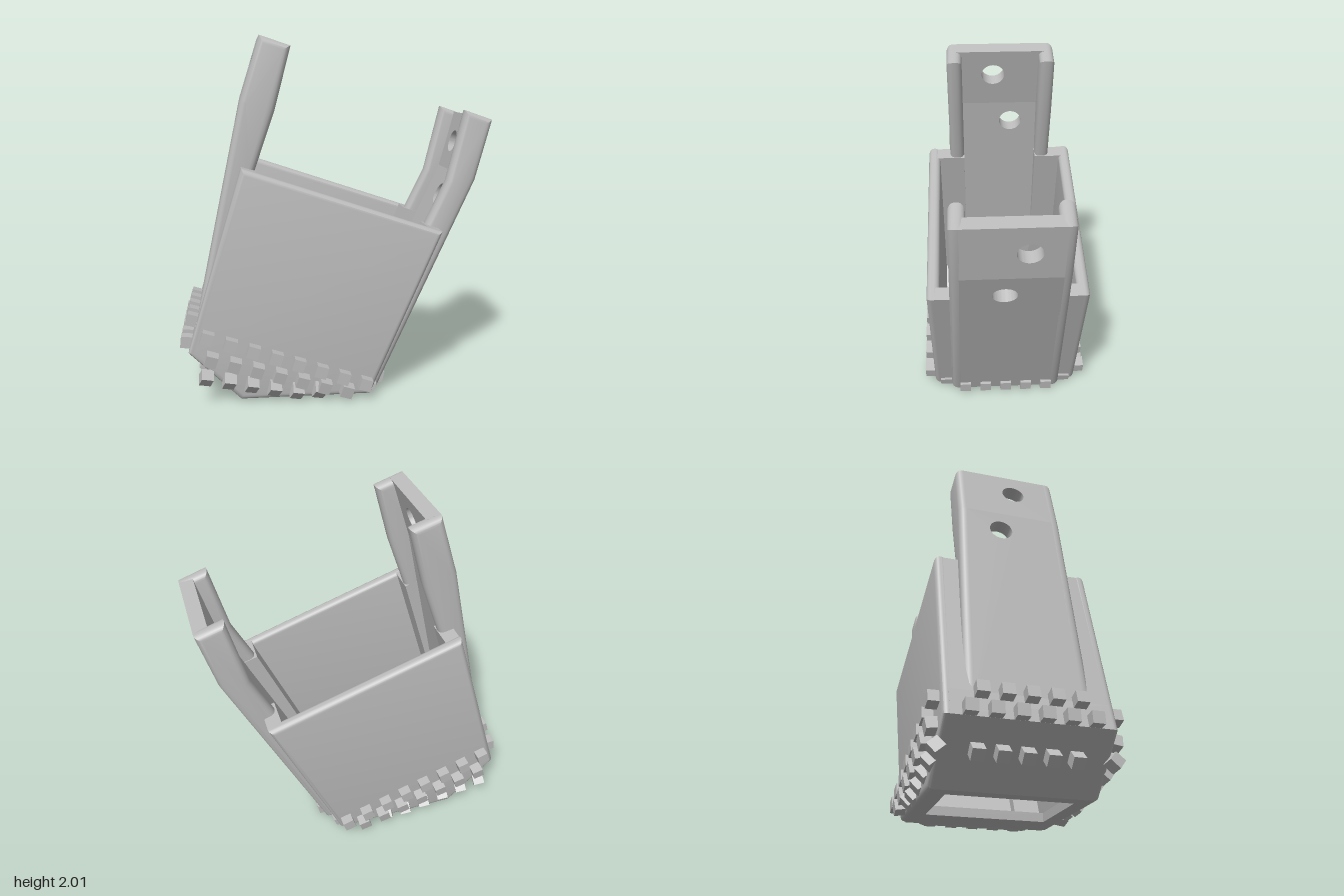
import * as THREE from 'three';
import { toCreasedNormals } from 'three/addons/utils/BufferGeometryUtils.js';

// Local frame: x runs from the tall strap to the short strap, z across the socket.
const grey = new THREE.MeshStandardMaterial({ color: 0xbbbbbb });
grey.name = 'plain grey';

const HALF = 0.44;   // half width of the socket
const STRAP = 0.305; // half width of a strap

export function createModel() {
  const model = new THREE.Group();
  model.name = 'strappedSocket';
  model.rotation.y = Math.PI / 4;

  const add = (name, geo) => {
    const mesh = new THREE.Mesh(toCreasedNormals(geo, 0.6), grey);
    mesh.name = name;
    model.add(mesh);
    return mesh;
  };

  // Straps get slightly wider towards the bottom
  const widen = (geo) => {
    const p = geo.attributes.position;
    for (let i = 0; i < p.count; i++) {
      p.setZ(i, p.getZ(i) * (1 + 0.1 * Math.max(0, 1.2 - p.getY(i)) / 1.2));
    }
    return geo;
  };

  // Side profile extruded across the width from z0 to z1, optionally with rounded edges
  const slab = (pts, z0, z1, r = 0) => {
    const shape = new THREE.Shape(pts.map(([x, y]) => new THREE.Vector2(x, y)));
    const geo = new THREE.ExtrudeGeometry(shape, {
      depth: z1 - z0 - 2 * r, bevelEnabled: r > 0, bevelSize: r,
      bevelThickness: r, bevelOffset: -r, bevelSegments: 4,
    });
    return geo.translate(0, 0, z0 + r);
  };

  // Same profile on both sides of the centre plane
  const pair = (name, pts, z0, z1, r, rule = (g) => g) => {
    add(name + 'Left', rule(slab(pts, z0, z1, r)));
    add(name + 'Right', rule(slab(pts, -z1, -z0, r)));
  };

  // Flat web panel from a to b with a round bolt hole; side -1 is the low-x outer face
  const web = (name, a, b, side, hole) => {
    const dir = new THREE.Vector3(b[0] - a[0], b[1] - a[1], 0);
    const len = dir.length(), t = 0.08, w = STRAP - 0.045;
    dir.normalize();
    const shape = new THREE.Shape();
    shape.moveTo(-w, 0).lineTo(w, 0).lineTo(w, len).lineTo(-w, len).closePath();
    const path = new THREE.Path();
    path.absarc(hole[1], (hole[0] - a[1]) / dir.y, 0.066, 0, Math.PI * 2, true);
    shape.holes.push(path);
    const geo = new THREE.ExtrudeGeometry(shape, { depth: t, bevelEnabled: false, curveSegments: 24 });
    if (side < 0) geo.translate(0, 0, -t);
    const across = new THREE.Vector3(0, 0, 1);
    const normal = new THREE.Vector3().crossVectors(across, dir);
    geo.applyMatrix4(new THREE.Matrix4().makeBasis(across, dir, normal).setPosition(a[0], a[1], 0));
    add(name, widen(geo));
  };

  // Socket side walls with rounded rims
  pair('sideWall', [[-0.785, 0.28], [-0.5, 0], [0.23, 0], [0.63, 0.93], [-0.48, 1.3]],
    HALF - 0.07, HALF, 0.03);

  // End walls beside each strap
  pair('frontWall', [[-0.785, 0.28], [-0.7, 0.25], [-0.4, 1.27], [-0.48, 1.295]], 0.22, 0.405, 0);
  pair('backWall', [[0.15, 0], [0.23, 0], [0.63, 0.93], [0.55, 0.955]], 0.22, 0.405, 0);

  // Sloped plate under the tall strap
  add('bottomChamfer', slab([[-0.785, 0.28], [-0.5, 0], [-0.42, 0], [-0.7, 0.28],
    [-0.665, 0.42], [-0.745, 0.42]], -0.405, 0.405));

  // Floor lip around the bottom opening
  add('floorBackLip', slab([[0.03, 0], [0.25, 0], [0.27, 0.05], [0.03, 0.05]], -0.405, 0.405));
  pair('floorSideLip', [[-0.48, 0], [0.1, 0], [0.1, 0.05], [-0.5, 0.05]], 0.335, 0.4, 0);

  // Tall strap: bent web with two flanges
  const tall = [[-0.75, 0.38], [-0.48, 1.65], [-0.37, 2]];
  web('tallStrapLowerWeb', tall[0], tall[1], -1, [1.52, -0.065]);
  web('tallStrapUpperWeb', tall[1], tall[2], -1, [1.85, 0.04]);
  pair('tallStrapFlange', [...tall, [-0.2, 1.945], [-0.29, 1.6], [-0.4, 1.28], [-0.67, 0.38]],
    STRAP - 0.085, STRAP, 0.035, widen);

  // Short strap
  const short = [[0.29, 0], [0.845, 1.2], [0.935, 1.54]];
  web('shortStrapLowerWeb', short[0], short[1], 1, [1.05, 0.03]);
  web('shortStrapUpperWeb', short[1], short[2], 1, [1.37, -0.085]);
  pair('shortStrapFlange', [...short, [0.775, 1.595], [0.68, 1.2], [0.56, 0.95], [0.17, 0]],
    STRAP - 0.085, STRAP, 0.035, widen);

  // Grip studs
  const cube = new THREE.BoxGeometry(0.066, 0.066, 0.066);
  const stud = (name, x, y, z, rx, rz) => {
    const mesh = new THREE.Mesh(cube, grey);
    mesh.name = name;
    mesh.position.set(x, y, z);
    mesh.rotation.set(rx, 0, rz);
    model.add(mesh);
  };

  // Three sloping rows on each side wall: start x, start y, count, height drop, outward z, roll
  const sideRows = [
    [-0.68, 0.38, 8, 0.043, 0.465, 0],
    [-0.66, 0.255, 7, 0.036, 0.465, 0.15],
    [-0.69, 0.145, 6, 0.026, 0.445, 0.7],
  ];
  for (const s of [1, -1]) {
    for (const [x, y, n, drop, z, roll] of sideRows) {
      for (let i = 0; i < n; i++) {
        stud('sideStud', x + 0.125 * i, Math.max(0.045, y - drop * i), s * z, s * roll, -0.31);
      }
    }
  }

  // Rows across the ends: x, y, count, tilt
  const endRows = [
    [-0.77, 0.42, 5, -0.29],
    [-0.8, 0.315, 6, -0.1],
    [-0.69, 0.14, 5, 0.75],
    [0.3, 0.04, 5, -0.2],
  ];
  for (const [x, y, n, tilt] of endRows) {
    for (let i = 0; i < n; i++) stud('endStud', x, y, (i - (n - 1) / 2) * 0.125, 0, tilt);
  }

  const root = new THREE.Group();
  root.add(model);
  return root;
}
